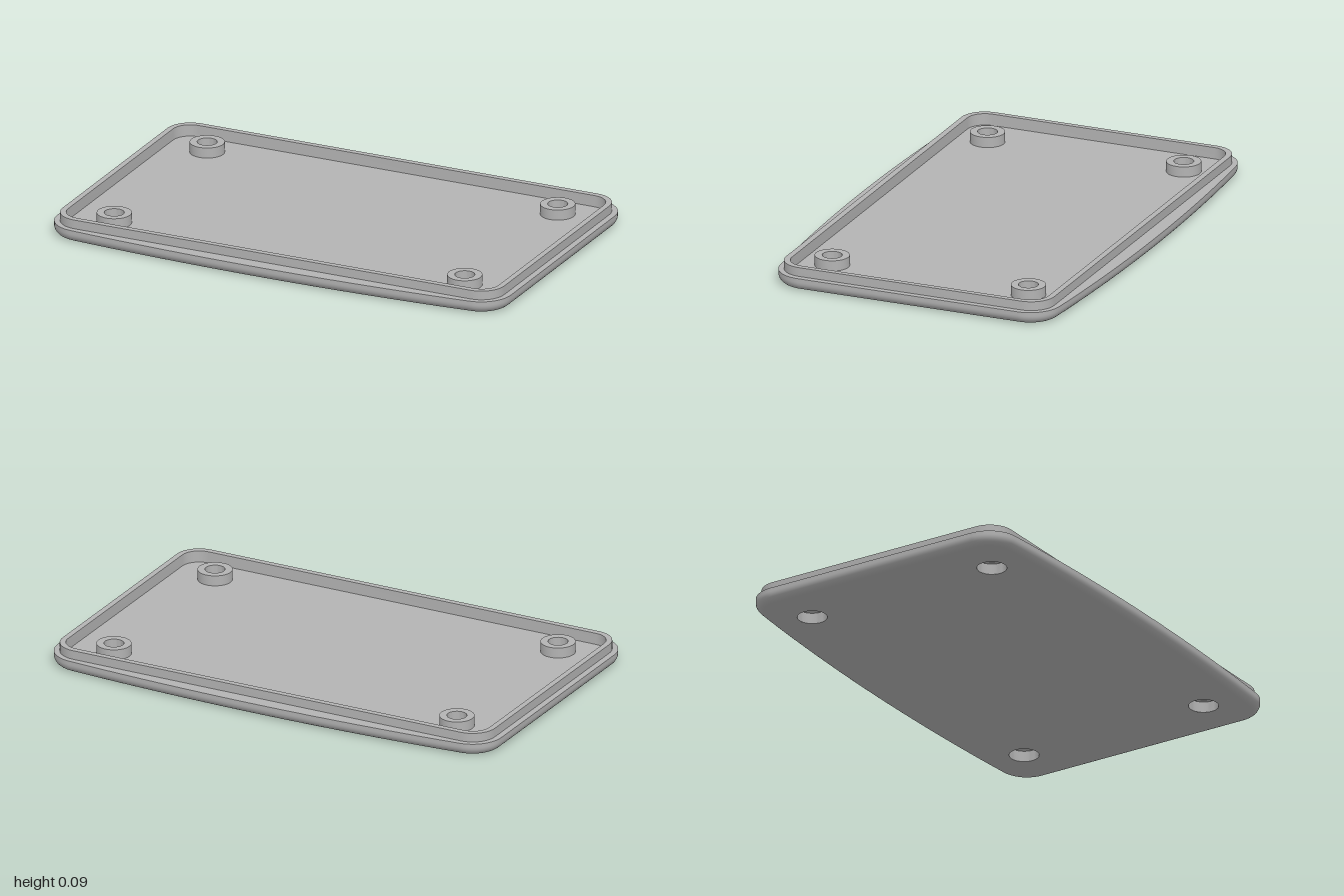
import * as THREE from 'three';
import { toCreasedNormals } from 'three/addons/utils/BufferGeometryUtils.js';

const FLOOR = 0.042, LEDGE = 0.053, LIP_TOP = 0.09, FILLET = 0.038;
const HOLE_X = 0.773, HOLE_Z = 0.425, BORE = 0.06;

// Outer outline with softly bowed long sides, shrunk inwards by inset
function plateOutline(inset) {
  const tilt = 0.0794, bow = 11.1, cornerR = 0.13 - inset;
  const quarter = [];
  for (let i = 0; i <= 12; i++) {
    const a = (i / 12) * (Math.PI / 2 - tilt);
    quarter.push([0.87 + cornerR * Math.cos(a), 0.475 + cornerR * Math.sin(a)]);
  }
  for (let i = 1; i <= 10; i++) {
    const a = tilt * (1 - i / 10);
    quarter.push([(bow - inset) * Math.sin(a), 0.64 - bow + (bow - inset) * Math.cos(a)]);
  }
  const mirrored = quarter.slice(0, -1).reverse().map(([x, z]) => [-x, z]);
  const half = [...quarter, ...mirrored];
  return [...half, ...half.map(([x, z]) => [-x, -z])].map(([x, z]) => new THREE.Vector2(x, z));
}

function roundedRect(hx, hz, r) {
  const pts = [];
  [[1, 1], [-1, 1], [-1, -1], [1, -1]].forEach(([sx, sz], q) => {
    for (let i = 0; i <= 10; i++) {
      const a = (q + i / 10) * Math.PI / 2;
      pts.push(new THREE.Vector2(sx * (hx - r) + r * Math.cos(a), sz * (hz - r) + r * Math.sin(a)));
    }
  });
  return pts;
}

// Wall lofted through outlines stacked from bottom to top
function loft(rings) {
  const n = rings[0].pts.length, pos = [], idx = [];
  rings.forEach(({ pts, y }) => pts.forEach(p => pos.push(p.x, y, p.y)));
  for (let r = 0; r < rings.length - 1; r++) {
    for (let i = 0; i < n; i++) {
      const j = (i + 1) % n, a = r * n + i, b = r * n + j;
      idx.push(a, a + n, b, b, a + n, b + n);
    }
  }
  const g = new THREE.BufferGeometry();
  g.setAttribute('position', new THREE.Float32BufferAttribute(pos, 3));
  g.setIndex(idx);
  g.computeVertexNormals();
  return g;
}

const screwSpots = [];
for (const sx of [-1, 1]) for (const sz of [-1, 1]) screwSpots.push([sx * HOLE_X, sz * HOLE_Z]);

// Flat sheet facing up or down, pierced by the given holes
function sheet(outline, holes, y, up) {
  const shape = new THREE.Shape(outline);
  shape.holes.push(...holes);
  return new THREE.ShapeGeometry(shape, 32).rotateX(up ? -Math.PI / 2 : Math.PI / 2).translate(0, y, 0);
}

const circles = r => screwSpots.map(([x, z]) => new THREE.Path().absarc(x, z, r, 0, Math.PI * 2, true));

export function createModel() {
  const group = new THREE.Group();
  const grey = new THREE.MeshStandardMaterial({ color: 0xb3b3b3 });
  grey.name = 'grey plastic';
  const add = (name, geometry) => {
    const mesh = new THREE.Mesh(geometry, grey);
    mesh.name = name;
    group.add(mesh);
    return mesh;
  };

  const lipOuter = roundedRect(0.974, 0.581, 0.1);
  const lipInner = roundedRect(0.95, 0.556, 0.076);

  // Outer rim: rounded lower edge, then straight up to the ledge
  const rings = [];
  for (let i = 0; i <= 8; i++) {
    const a = (i / 8) * Math.PI / 2;
    rings.push({ pts: plateOutline(FILLET * (1 - Math.sin(a))), y: FILLET * (1 - Math.cos(a)) });
  }
  rings.push({ pts: plateOutline(0), y: LEDGE });
  add('outerRim', loft(rings));

  // Underside, ledge and recessed floor
  add('underside', sheet(plateOutline(FILLET), circles(BORE), 0, false));
  add('ledge', sheet(plateOutline(0), [new THREE.Path(lipOuter)], LEDGE, true));
  add('floor', sheet(lipInner, circles(0.069), FLOOR, true));

  // Raised locating lip
  const lipShape = new THREE.Shape(lipOuter);
  lipShape.holes.push(new THREE.Path(lipInner));
  const lip = new THREE.ExtrudeGeometry(lipShape, { depth: LIP_TOP - FLOOR, bevelEnabled: false });
  add('lip', toCreasedNormals(lip.rotateX(-Math.PI / 2).translate(0, FLOOR, 0), 0.6));

  // Screw bosses with a through hole and a wider bore from below
  const profile = [[0.07, FLOOR], [0.07, 0.085], [0.04, 0.085], [0.04, 0.045], [BORE, 0.045], [BORE, 0]]
    .map(([r, y]) => new THREE.Vector2(r, y));
  const bossGeometry = toCreasedNormals(new THREE.LatheGeometry(profile, 40), 0.6);
  for (const [x, z] of screwSpots) add('screwBoss', bossGeometry).position.set(x, 0, z);

  return group;
}
